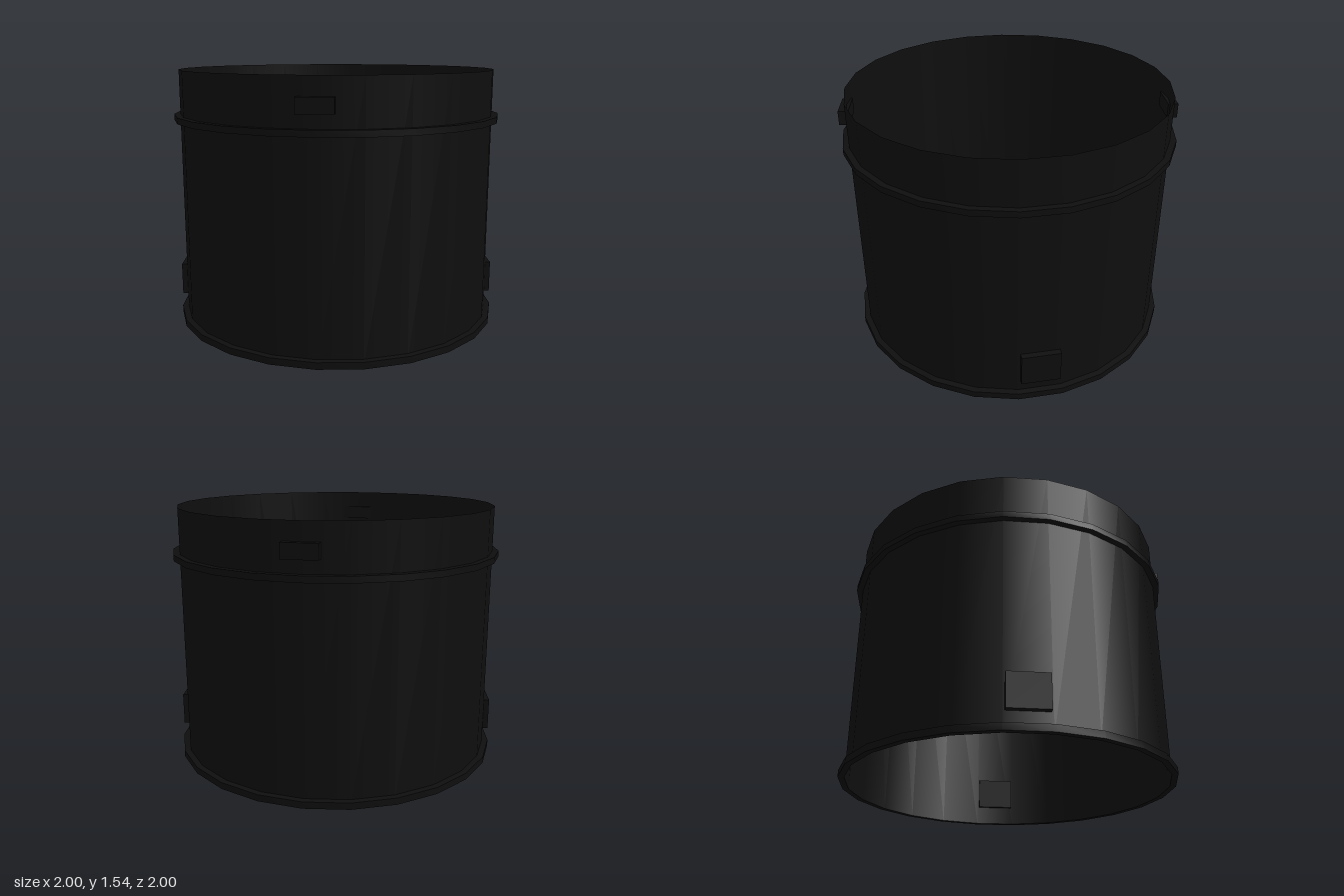
import * as THREE from 'three';
import { toCreasedNormals } from 'three/addons/utils/BufferGeometryUtils.js';

const SIDES = 24;
const WALL = 0.963;
const RIM = 1.0;

export function createModel() {
  const group = new THREE.Group();
  const black = new THREE.MeshStandardMaterial({ color: 0x0e0e0e, side: THREE.DoubleSide });
  black.name = 'black';

  const add = (name, geometry) => {
    const mesh = new THREE.Mesh(geometry, black);
    mesh.name = name;
    group.add(mesh);
    return mesh;
  };

  // Thin wall, open at both ends
  const height = 1.54;
  const wall = new THREE.CylinderGeometry(WALL, WALL, height, SIDES, 1, true);
  add('wall', wall.translate(0, height / 2, 0));

  // Flat bands around the wall
  const band = (name, y0, y1) => {
    const profile = [[WALL, y0], [RIM, y0], [RIM, y1], [WALL, y1]]
      .map(([r, y]) => new THREE.Vector2(r, y));
    add(name, toCreasedNormals(new THREE.LatheGeometry(profile, SIDES), 0.6));
  };
  band('bottomBand', 0, 0.04);
  band('upperBand', 1.235, 1.272);

  // Small blocks on the wall, each with a twin on the opposite side
  const block = (name, degrees, width, y0, y1, outer) => {
    const depth = 0.06;
    for (const [suffix, turn] of [['Front', 0], ['Back', 180]]) {
      const geometry = new THREE.BoxGeometry(width, y1 - y0, depth);
      geometry.translate(0, (y0 + y1) / 2, outer - depth / 2);
      add(name + suffix, geometry).rotation.y = THREE.MathUtils.degToRad(degrees + turn);
    }
  };
  block('upperBlock', -30, 0.2, 1.35, 1.435, 1.0);
  block('lowerBlock', 67.5, 0.23, 0.115, 0.31, 0.99);

  return group;
}
